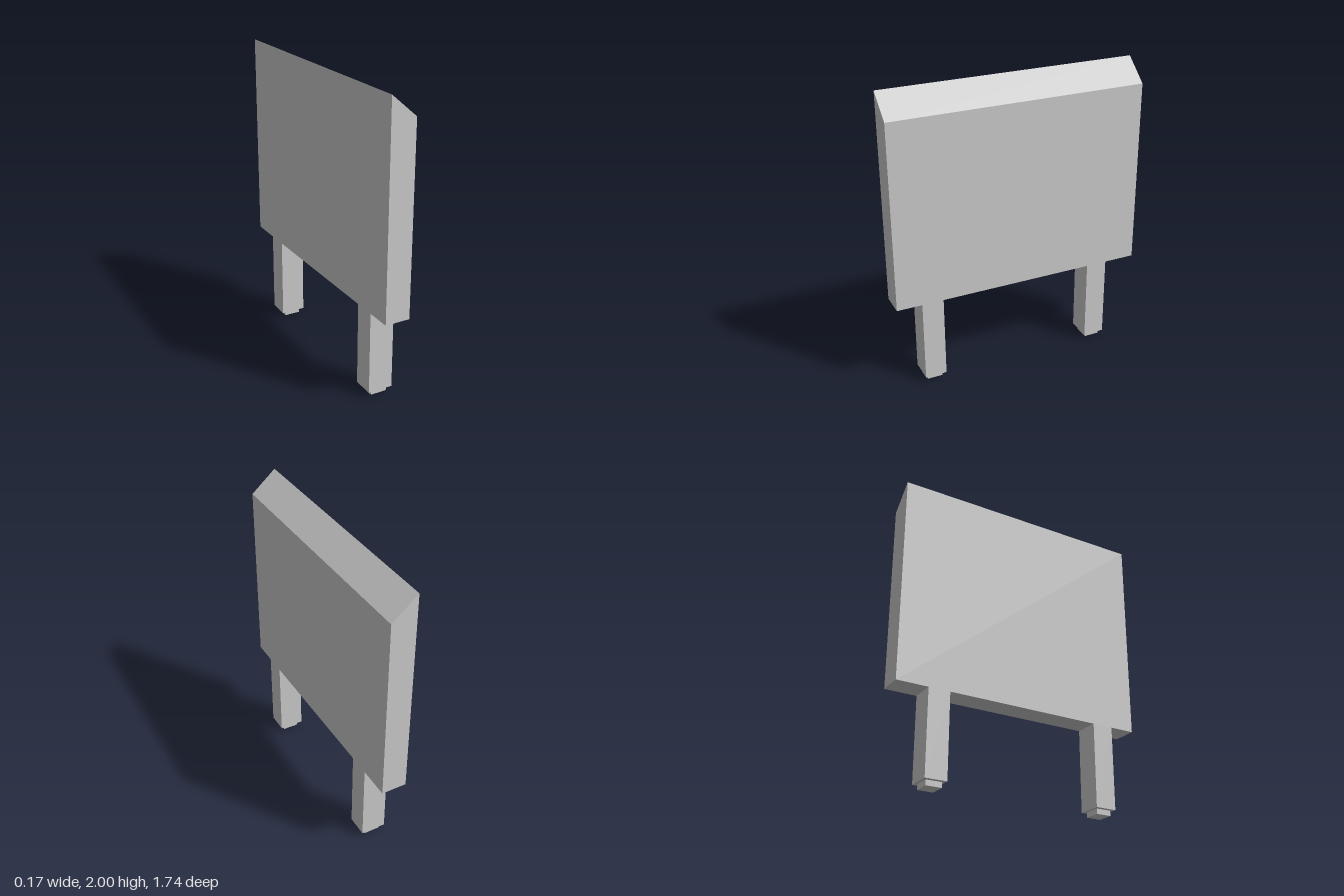
import * as THREE from 'three';

const material = new THREE.MeshStandardMaterial({ color: 0xcccccc, flatShading: true });

const HALF_T = 0.084; // half thickness of panel and legs
const FOOT_H = 0.035;
const PANEL_Y = 0.598;

function part(name, geometry, x, y, z) {
  const mesh = new THREE.Mesh(geometry, material);
  mesh.name = name;
  mesh.position.set(x, y, z);
  return mesh;
}

// Square post with a smaller foot pad beneath it
function createLeg(name, z) {
  const leg = new THREE.Group();
  leg.name = name;
  const postH = PANEL_Y - FOOT_H;
  leg.add(
    part('post', new THREE.BoxGeometry(HALF_T * 2, postH, 0.146), 0, FOOT_H + postH / 2, 0),
    part('footPad', new THREE.BoxGeometry(0.112, FOOT_H, 0.104), 0, FOOT_H / 2, 0)
  );
  leg.position.z = z;
  return leg;
}

export function createModel() {
  const model = new THREE.Group();
  model.name = 'panelOnLegs';

  // Upright panel with a slanted top edge
  const profile = new THREE.Shape([
    new THREE.Vector2(-HALF_T, PANEL_Y),
    new THREE.Vector2(HALF_T, PANEL_Y),
    new THREE.Vector2(HALF_T, 1.856),
    new THREE.Vector2(-HALF_T, 2),
  ]);
  const depth = 1.74;
  const panel = new THREE.ExtrudeGeometry(profile, { depth, bevelEnabled: false });
  model.add(part('panel', panel, 0, 0, -depth / 2));

  // Legs, slightly offset toward the front
  model.add(createLeg('frontLeg', 0.626), createLeg('backLeg', -0.583));

  return model;
}
